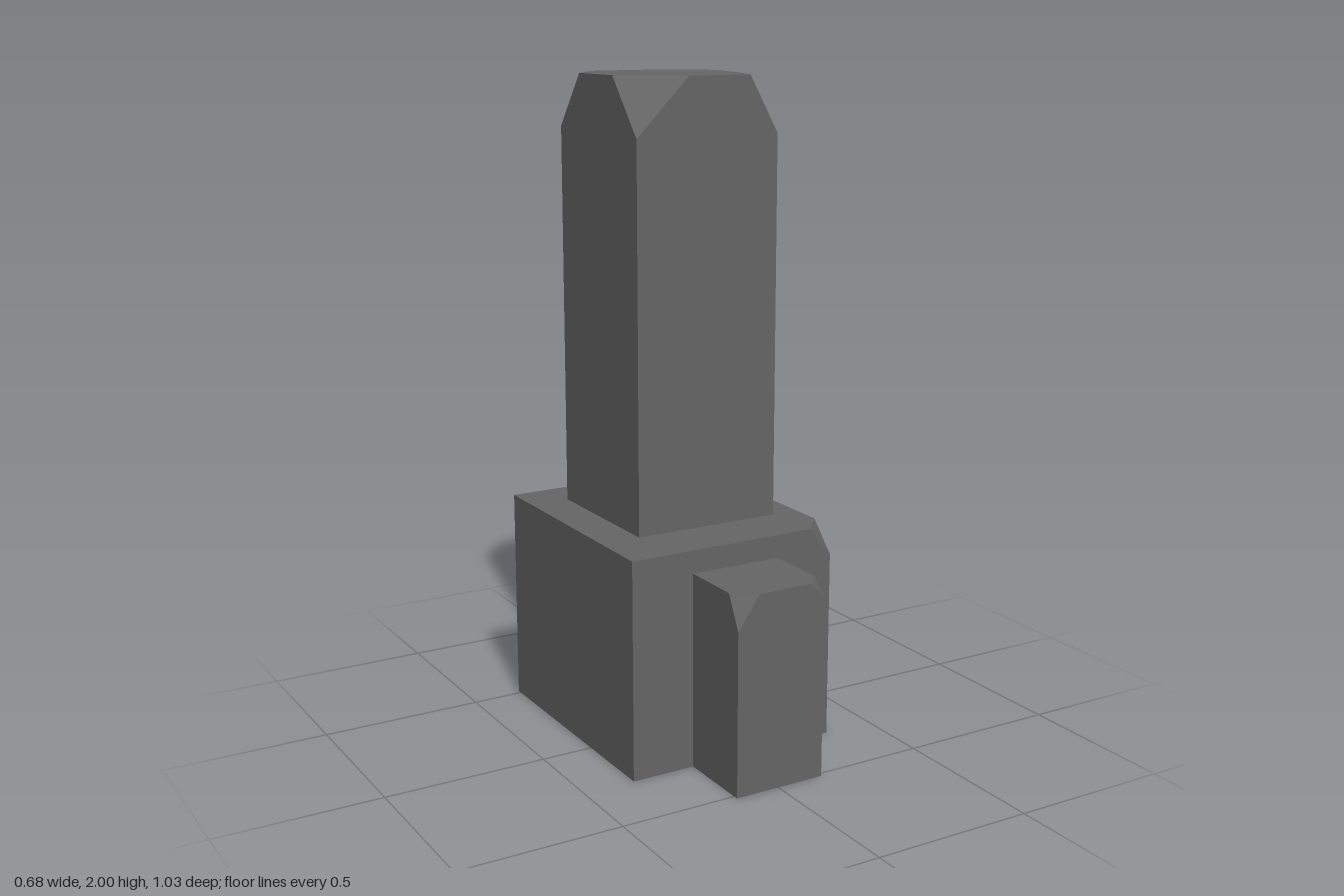
import * as THREE from 'three';
import { ConvexGeometry } from 'three/addons/geometries/ConvexGeometry.js';

const stone = new THREE.MeshStandardMaterial({ color: 0x666666 });
stone.name = 'grey stone';

// Box whose top corners may be chipped off.
// chips: key 'sx,sz' (corner signs) -> list of [x, y, z] replacing that corner
function chippedBox(name, [x0, x1], [y0, y1], [z0, z1], chips) {
  const points = [];
  for (const sx of [-1, 1]) {
    for (const sz of [-1, 1]) {
      const x = sx < 0 ? x0 : x1;
      const z = sz < 0 ? z0 : z1;
      points.push(new THREE.Vector3(x, y0, z));
      const chip = chips[`${sx},${sz}`] ?? [[x, y1, z]];
      for (const p of chip) points.push(new THREE.Vector3(...p));
    }
  }
  const mesh = new THREE.Mesh(new ConvexGeometry(points), stone);
  mesh.name = name;
  return mesh;
}

export function createModel() {
  const model = new THREE.Group();
  model.name = 'stoneTower';

  // Broad base block, chipped at one front corner
  model.add(chippedBox('base', [-0.34, 0.34], [0, 0.67], [-0.515, 0.27], {
    '1,1': [[0.265, 0.67, 0.27], [0.34, 0.67, 0.185], [0.34, 0.58, 0.27]],
  }));

  // Tall shaft, chipped at all four top corners
  model.add(chippedBox('shaft', [-0.215, 0.255], [0.67, 2], [-0.385, 0.085], {
    '-1,1': [[-0.215, 2, -0.055], [-0.045, 2, 0.085], [-0.215, 1.83, 0.085]],
    '1,1': [[0.16, 2, 0.085], [0.213, 2, -0.07], [0.255, 1.83, 0.085]],
    '1,-1': [[0.255, 2, -0.27], [0.115, 2, -0.385], [0.255, 1.79, -0.385]],
    '-1,-1': [[-0.11, 2, -0.385], [-0.215, 2, -0.26], [-0.215, 1.84, -0.385]],
  }));

  // Small front block, chipped at both front corners
  model.add(chippedBox('frontBlock', [-0.14, 0.15], [0, 0.6], [0.27, 0.515], {
    '-1,1': [[-0.14, 0.6, 0.465], [-0.07, 0.6, 0.515], [-0.14, 0.5, 0.515]],
    '1,1': [[0.105, 0.6, 0.515], [0.15, 0.6, 0.465], [0.15, 0.55, 0.515]],
  }));

  return model;
}
